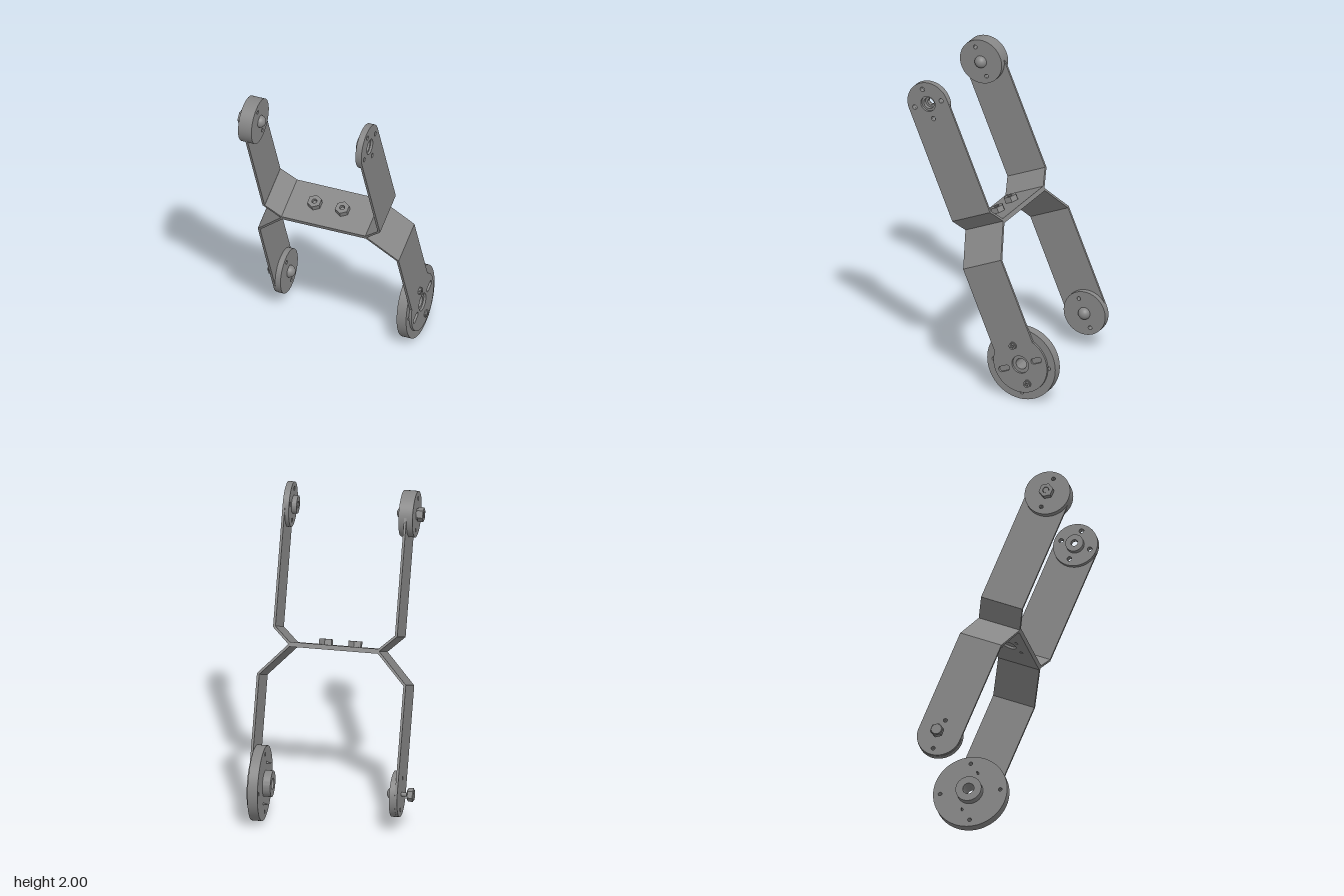
import * as THREE from 'three';
import { toCreasedNormals } from 'three/addons/utils/BufferGeometryUtils.js';

const mat = new THREE.MeshStandardMaterial({ color: 0x868686 });
const T = 0.015;      // sheet thickness
const HW = 0.143;     // half width of the sheet strips
const FLAT = 0.29;    // half length of the flat plates
const CX = 0.031;     // middle of the brackets

function add(parent, name, geo, x = 0, y = 0, z = 0) {
  const m = new THREE.Mesh(geo, mat);
  m.name = name;
  m.position.set(x, y, z);
  parent.add(m);
  return m;
}

const extrude = (shape, depth) => toCreasedNormals(
  new THREE.ExtrudeGeometry(shape, { depth, bevelEnabled: false, curveSegments: 32 }), 0.6);
// extrusion running from x = 0 to x = depth
const extrudeX = (shape, depth) => extrude(shape, depth).rotateY(Math.PI / 2);
const rodX = (r0, r1, len, sides = 24) =>
  new THREE.CylinderGeometry(r1, r0, len, sides).rotateZ(-Math.PI / 2).translate(len / 2, 0, 0);

const circle = (x, y, r) => new THREE.Path().absarc(x, y, r, 0, Math.PI * 2, false);

function discShape(r, holes = []) {
  const s = new THREE.Shape().absarc(0, 0, r, 0, Math.PI * 2, false);
  s.holes.push(...holes);
  return s;
}

function hexShape(r, holes = []) {
  const pts = [];
  for (let i = 0; i < 6; i++) {
    const a = i * Math.PI / 3 + Math.PI / 6;
    pts.push(new THREE.Vector2(r * Math.cos(a), r * Math.sin(a)));
  }
  const s = new THREE.Shape(pts);
  s.holes.push(...holes);
  return s;
}

function slot(x, half, r) {
  const p = new THREE.Path();
  p.absarc(x + half, 0, r, -Math.PI / 2, Math.PI / 2, false);
  p.absarc(x - half, 0, r, Math.PI / 2, Math.PI * 1.5, false);
  p.closePath();
  return p;
}

// ring of n small holes
function ring(n, dist, r, start = 0) {
  return Array.from({ length: n }, (_, i) => {
    const a = start + i * Math.PI * 2 / n;
    return circle(dist * Math.cos(a), dist * Math.sin(a), r);
  });
}

// strip with a round end at the origin, running up to y = len
function armShape(len, R, holes = []) {
  const a = Math.acos(Math.min(1, HW / R));
  const s = new THREE.Shape();
  s.moveTo(HW, len);
  s.lineTo(-HW, len);
  s.lineTo(-HW, R * Math.sin(a));
  s.absarc(0, 0, R, Math.PI - a, Math.PI * 2 + a, false);
  s.closePath();
  s.holes.push(...holes);
  return s;
}

// flat plate with two slanted shoulders; dir is +1 upwards, -1 downwards
function bracketBase(name, dir, outX, rise, holes) {
  const g = new THREE.Group();
  g.name = name;
  g.position.x = CX;
  const plate = new THREE.Shape([[-FLAT, -HW], [FLAT, -HW], [FLAT, HW], [-FLAT, HW]]
    .map(p => new THREE.Vector2(...p)));
  plate.holes.push(...holes);
  add(g, 'plate', extrude(plate, T).rotateX(-Math.PI / 2), 0, dir > 0 ? 0 : -T);
  for (const s of [-1, 1]) {
    const pts = [[FLAT, 0], [outX, rise], [outX - T, rise + 0.006], [FLAT - 0.007, T]]
      .map(([x, y]) => new THREE.Vector2(x * s, y * dir));
    add(g, 'shoulder', extrude(new THREE.Shape(pts), 2 * HW), 0, 0, -HW);
  }
  return g;
}

function armEnd(parent, name, y, up) {
  const g = new THREE.Group();
  g.name = name;
  g.position.y = y;
  if (up) g.rotation.x = Math.PI;
  parent.add(g);
  return g;
}

const dome = r => new THREE.SphereGeometry(r, 32, 12, 0, Math.PI * 2, 0, Math.PI / 2).rotateZ(-Math.PI / 2);

export function createModel() {
  const root = new THREE.Group();
  root.name = 'doubleBracket';
  const body = new THREE.Group();
  body.name = 'tiltedBody';
  body.position.set(0, 1.049, 0.049);
  body.rotation.x = 0.401;
  root.add(body);

  // two plates joined back to back
  body.add(bracketBase('upperBracket', 1, 0.396, 0.1, []));
  body.add(bracketBase('lowerBracket', -1, 0.475, 0.196,
    [circle(0, 0, 0.05), ...ring(4, 0.1, 0.011, Math.PI / 4)]));

  // plate nuts with their studs
  for (const x of [-0.077, 0.11]) {
    const nut = extrude(hexShape(0.046, [circle(0, 0, 0.016)]), 0.036).rotateX(-Math.PI / 2);
    add(body, 'plateNut', nut, x, T);
    add(body, 'plateStud', new THREE.CylinderGeometry(0.013, 0.013, 0.046, 20), x, 0.012);
  }

  const upLen = 0.774, lowLen = 0.684;
  const pair = () => ring(2, 0.1, 0.013, Math.PI / 2);

  // upper right-hand end: thick disc, nut and dome
  const a = armEnd(body, 'upperRightArm', 0.874, true);
  add(a, 'arm', extrudeX(armShape(upLen, HW), T), -0.366);
  add(a, 'disc', extrudeX(discShape(0.146, pair()), 0.09), -0.404);
  add(a, 'nut', extrudeX(hexShape(0.046, [circle(0, 0, 0.02)]), 0.036), -0.448);
  add(a, 'stud', rodX(0.018, 0.018, 0.05), -0.444);
  add(a, 'washer', rodX(0.036, 0.036, 0.01), -0.413);
  add(a, 'dome', dome(0.04), -0.316);

  // upper left-hand end: thin disc with a hollow hub
  const b = armEnd(body, 'upperLeftArm', 0.874, true);
  const four = () => ring(4, 0.1, 0.015);
  add(b, 'arm', extrudeX(armShape(upLen, HW, [circle(0, 0, 0.05), ...four()]), T), 0.412);
  add(b, 'disc', extrudeX(discShape(0.143, [circle(0, 0, 0.036), ...four()]), 0.025), 0.387);
  add(b, 'hub', extrudeX(discShape(0.057, [circle(0, 0, 0.022)]), 0.032), 0.355);

  // lower right-hand end: disc, long bolt and dome
  const c = armEnd(body, 'lowerRightArm', -0.88, false);
  add(c, 'arm', extrudeX(armShape(lowLen, HW, pair()), T), -0.445);
  add(c, 'disc', extrudeX(discShape(0.145, pair()), 0.036), -0.43);
  add(c, 'boltShank', rodX(0.013, 0.013, 0.06), -0.49);
  add(c, 'boltHead', extrudeX(hexShape(0.043), 0.032), -0.521);
  add(c, 'boltHeadCap', rodX(0.033, 0.037, 0.005), -0.526);
  add(c, 'boltHeadCollar', rodX(0.037, 0.033, 0.005), -0.489);
  add(c, 'dome', dome(0.04), -0.393);

  // lower left-hand end: large wheel with hub behind a round mounting plate
  const d = armEnd(body, 'lowerLeftArm', -0.88, false);
  add(d, 'arm', extrudeX(armShape(lowLen, 0.187,
    [circle(0, 0, 0.058), slot(0.122, 0.022, 0.018), slot(-0.122, 0.022, 0.018)]), T), 0.491);
  add(d, 'wheel', extrudeX(discShape(0.238,
    [circle(0, 0, 0.036), ...ring(4, 0.193, 0.012, -0.38)]), 0.064), 0.427);
  add(d, 'hub', extrudeX(discShape(0.083, [circle(0, 0, 0.036)]), 0.05), 0.377);

  // cross-head screws through the mounting plate
  const k = 0.004, l = 0.014;
  const cross = [[k, k], [k, l], [-k, l], [-k, k], [-l, k], [-l, -k], [-k, -k], [-k, -l],
    [k, -l], [k, -k], [l, -k], [l, k]].map(p => new THREE.Vector2(...p));
  for (const y of [-0.13, 0.13]) {
    add(d, 'screwHead', rodX(0.025, 0.025, 0.008), 0.505, y);
    add(d, 'screwFace', extrudeX(discShape(0.022, [new THREE.Path(cross)]), 0.009), 0.513, y);
    add(d, 'screwTip', rodX(0.002, 0.008, 0.035), 0.394, y);
  }
  return root;
}
